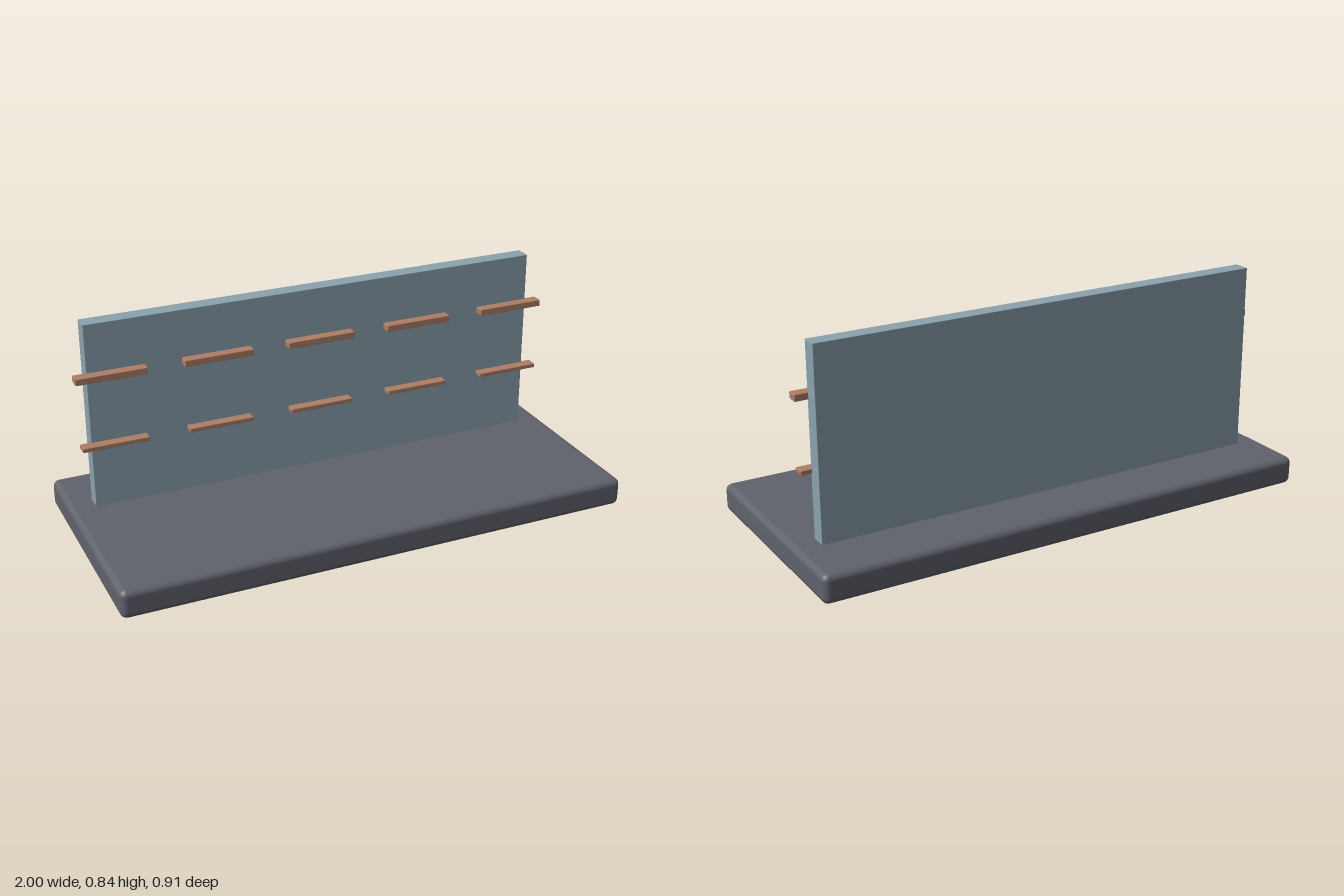
import * as THREE from 'three';
import { RoundedBoxGeometry } from 'three/addons/geometries/RoundedBoxGeometry.js';

function material(name, color) {
  const m = new THREE.MeshStandardMaterial({ color });
  m.name = name;
  return m;
}

// Rounded block given by its size, centre and edge radius
function block(name, [w, h, d], [x, y, z], radius, mat) {
  const mesh = new THREE.Mesh(new RoundedBoxGeometry(w, h, d, 3, radius), mat);
  mesh.name = name;
  mesh.position.set(x, y, z);
  return mesh;
}

export function createModel() {
  const slate = material('dark slate', 0x60626c);
  const blueGrey = material('blue grey', 0x8ba2ad);
  const copper = material('copper brown', 0xae7f65);

  const model = new THREE.Group();
  model.name = 'panelStand';

  // Base slab with softened edges
  model.add(block('base', [2, 0.11, 0.906], [0, 0.055, 0], 0.025, slate));

  // Upright panel, set behind the middle of the base
  model.add(block('backPanel', [1.81, 0.727, 0.062], [0, 0.4735, -0.199], 0.002, blueGrey));

  // Two rows of five short rails, sunk slightly into the panel front
  const rows = [
    { name: 'upperRail', y: 0.638, width: 0.27, height: 0.026 },
    { name: 'lowerRail', y: 0.366, width: 0.253, height: 0.017 },
  ];
  for (const { name, y, width, height } of rows) {
    const row = new THREE.Group();
    row.name = name + 'Row';
    for (let i = -2; i <= 2; i++) {
      row.add(block(name, [width, height, 0.044], [i * 0.41, y, -0.153], 0.003, copper));
    }
    model.add(row);
  }
  return model;
}
